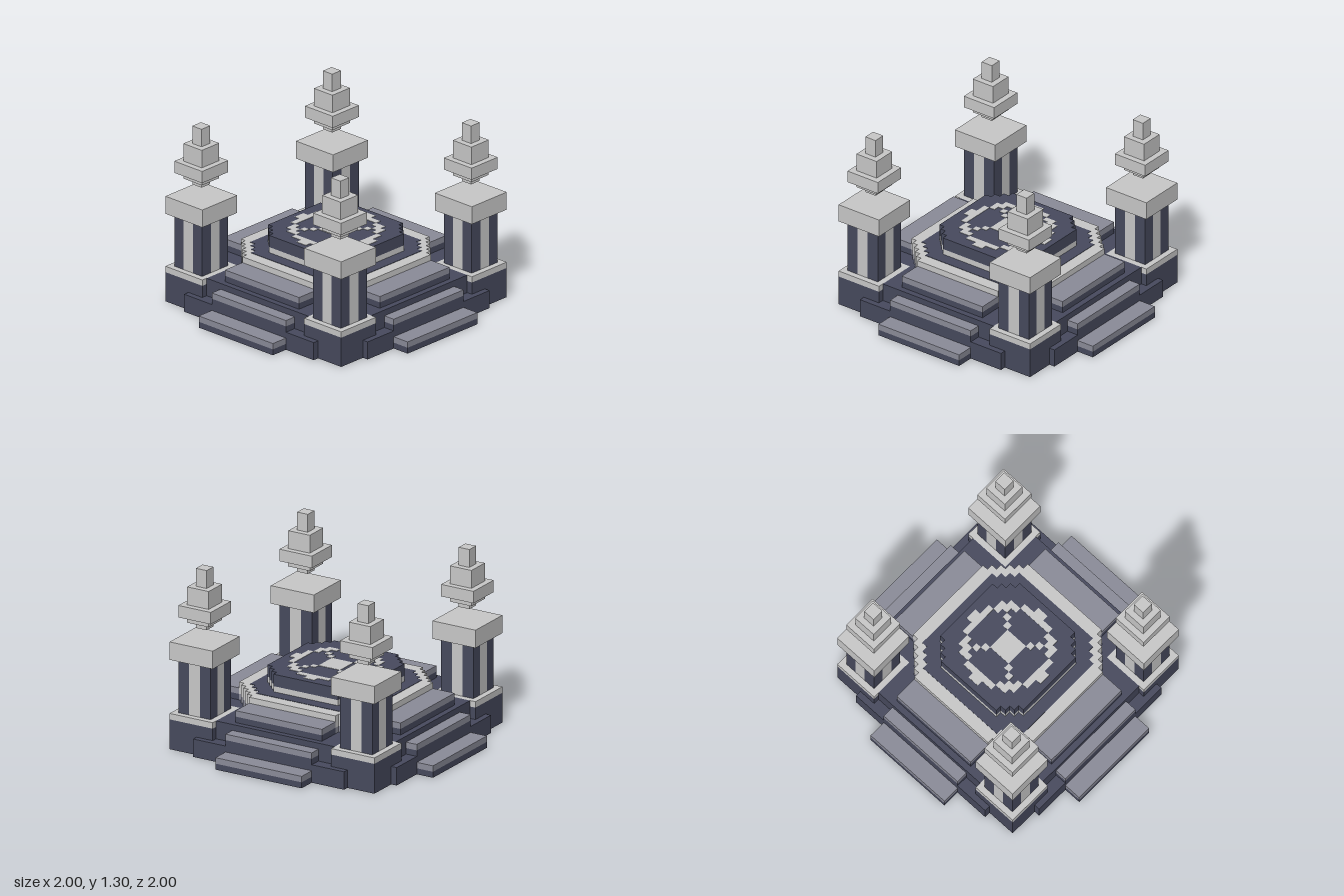
import * as THREE from 'three';

const U = 1 / 23; // one block

const dark = new THREE.MeshStandardMaterial({ name: 'dark slate', color: 0x474a5e });
const mid = new THREE.MeshStandardMaterial({ name: 'grey violet', color: 0x8b8c99 });
const light = new THREE.MeshStandardMaterial({ name: 'pale stone', color: 0xc9c9c9 });

// Box given by its limits in block units
function box(parent, name, mat, x0, x1, y0, y1, z0, z1) {
  const geo = new THREE.BoxGeometry((x1 - x0) * U, (y1 - y0) * U, (z1 - z0) * U);
  const mesh = new THREE.Mesh(geo, mat);
  mesh.position.set((x0 + x1) / 2 * U, (y0 + y1) / 2 * U, (z0 + z1) / 2 * U);
  mesh.name = name;
  parent.add(mesh);
}

// Octagonal slab with stair-stepped corners: half width a, half flat side f
function octagon(parent, name, mat, a, f, y0, y1) {
  const quarter = [];
  for (let k = 0; k < a - f; k++) quarter.push([a - k, f + k], [a - k - 1, f + k]);
  quarter.push([f, a]);
  const pts = [];
  for (let q = 0; q < 4; q++) {
    for (const [x, y] of quarter) {
      const p = new THREE.Vector2(x * U, y * U);
      p.rotateAround(new THREE.Vector2(), q * Math.PI / 2);
      pts.push(p);
    }
  }
  const geo = new THREE.ExtrudeGeometry(new THREE.Shape(pts), { depth: (y1 - y0) * U, bevelEnabled: false });
  geo.rotateX(-Math.PI / 2);
  const mesh = new THREE.Mesh(geo, mat);
  mesh.position.y = y0 * U;
  mesh.name = name;
  parent.add(mesh);
}

// Corner pillar centred on its own axis, with a floating finial
function pillar() {
  const g = new THREE.Group();
  const block = (name, mat, h, y0, y1) => box(g, name, mat, -h, h, y0, y1, -h, h);
  block('pillarFoot', dark, 4, 0, 5);
  block('pillarPlinth', light, 4, 5, 6);
  box(g, 'pillarStripe', light, -3, 3, 6, 15, -1, 1);
  box(g, 'pillarStripe', light, -1, 1, 6, 15, -3, 3);
  for (const x of [-3, 1]) for (const z of [-3, 1]) box(g, 'pillarCorner', dark, x, x + 2, 6, 15, z, z + 2);
  block('pillarCap', light, 4, 15, 18);
  for (const [h, y0, y1] of [[1, 20, 21], [2, 21, 22], [3, 22, 24], [2, 24, 27], [1, 27, 30]]) {
    block('finialTier', light, h, y0, y1);
  }
  return g;
}

// Three steps on one side, facing +z: dark riser, violet tread
function stairs() {
  const g = new THREE.Group();
  for (const [y, z0, z1] of [[0, 20, 23], [3, 18, 20], [6, 13, 17]]) {
    box(g, 'stepRiser', dark, -8, 8, y, y + 1, z0, z1);
    box(g, 'stepTread', mid, -8, 8, y + 1, y + 2, z0, z1);
  }
  return g;
}

export function createModel() {
  const model = new THREE.Group();
  model.name = 'stonePlatform';

  // Cross-shaped foundation and floor
  box(model, 'foundation', dark, -20, 20, 0, 3, -14, 14);
  box(model, 'foundation', dark, -14, 14, 0, 3, -20, 20);
  box(model, 'floor', dark, -18, 18, 0, 6, -11, 11);
  box(model, 'floor', dark, -11, 11, 0, 6, -18, 18);

  for (let i = 0; i < 4; i++) {
    const s = stairs();
    s.name = 'stairs';
    s.rotation.y = i * Math.PI / 2;
    model.add(s);
  }

  for (const sx of [-1, 1]) {
    for (const sz of [-1, 1]) {
      const p = pillar();
      p.name = 'pillar';
      p.position.set(sx * 15 * U, 0, sz * 15 * U);
      model.add(p);
    }
  }

  // Second riser under the upper steps
  for (let i = 0; i < 4; i++) {
    const g = new THREE.Group();
    g.name = 'stepSupport';
    box(g, 'stepSupport', dark, -8, 8, 3, 4, 18, 20);
    g.rotation.y = i * Math.PI / 2;
    model.add(g);
  }

  // Central octagonal dais
  octagon(model, 'daisFoot', mid, 13, 8, 6, 7);
  octagon(model, 'daisRim', light, 13, 8, 7, 9);
  octagon(model, 'daisFloor', dark, 11, 8, 9, 9.06);
  octagon(model, 'daisBand', light, 9, 6, 9, 10);
  octagon(model, 'daisTop', dark, 9, 6, 10, 12);

  // Inlaid ring and cross, one quadrant mirrored four ways
  const inlay = [
    [0, 2, 0, 2], [2, 3, 2, 3], [3, 4, 3, 4], [4, 5, 4, 5],
    [0, 1, 7, 8], [0, 3, 6, 7], [3, 5, 5, 6], [5, 6, 3, 5], [6, 7, 0, 3], [7, 8, 0, 1],
  ];
  for (const sx of [-1, 1]) {
    for (const sz of [-1, 1]) {
      for (const [x0, x1, z0, z1] of inlay) {
        box(model, 'inlay', light,
          Math.min(sx * x0, sx * x1), Math.max(sx * x0, sx * x1), 12, 12.06,
          Math.min(sz * z0, sz * z1), Math.max(sz * z0, sz * z1));
      }
    }
  }
  return model;
}
